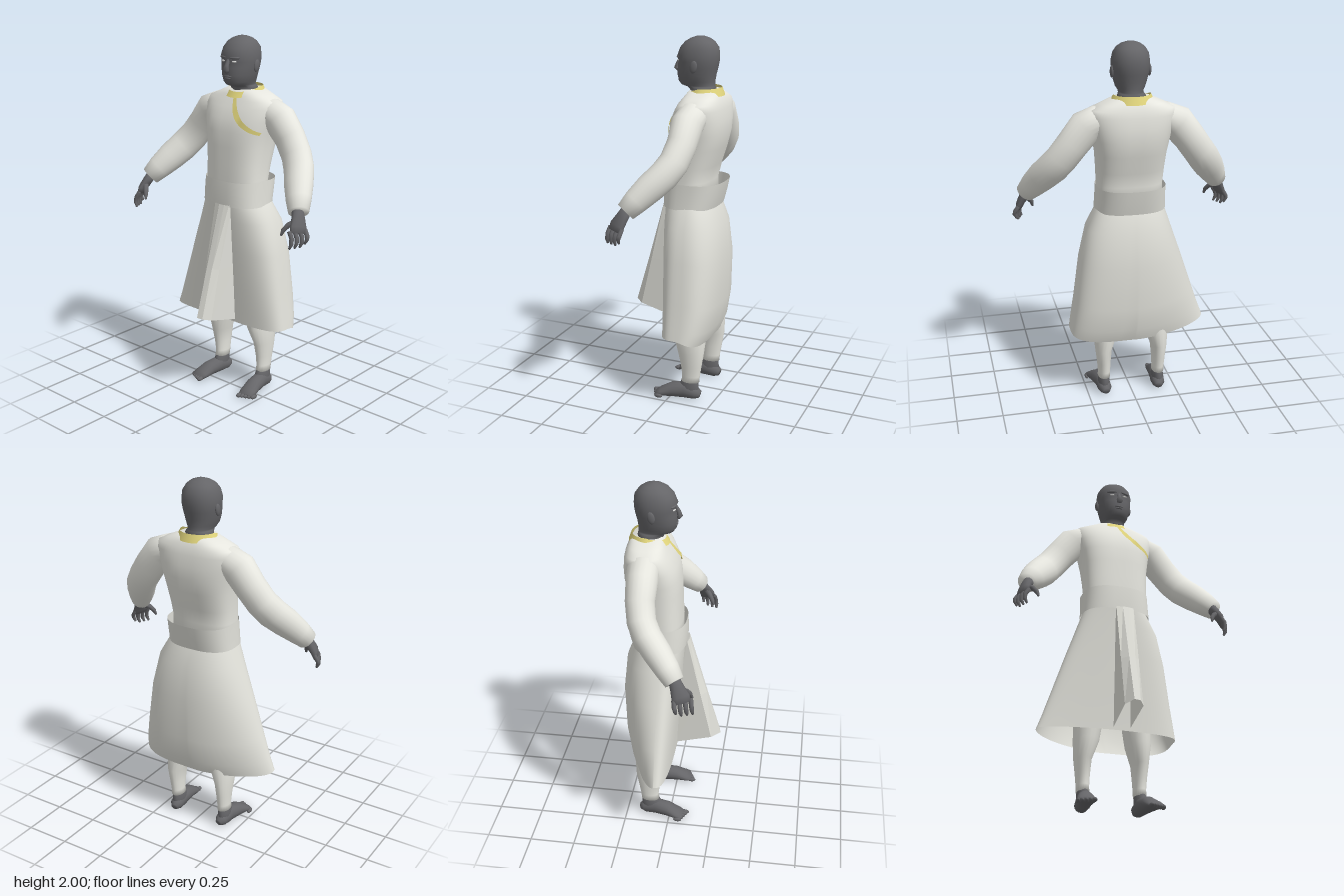
import * as THREE from 'three';

const D = THREE.DoubleSide;
const V = (x, y, z) => new THREE.Vector3(x, y, z);

// Skin a list of rings (each an array of points) into one surface
function loft(rings, { caps = true, closed = true, flat = false } = {}) {
  const n = rings[0].length, pos = [], idx = [];
  rings.forEach(r => r.forEach(p => pos.push(p.x, p.y, p.z)));
  for (let i = 0; i < rings.length - 1; i++) {
    for (let j = 0; j < (closed ? n : n - 1); j++) {
      const a = i * n + j, b = i * n + (j + 1) % n, c = a + n, d = b + n;
      idx.push(a, c, b, b, c, d);
    }
  }
  if (caps) {
    [0, rings.length - 1].forEach((r, end) => {
      const m = rings[r].reduce((s, p) => s.add(p), V(0, 0, 0)).divideScalar(n);
      const k = pos.length / 3;
      pos.push(m.x, m.y, m.z);
      for (let j = 0; j < n; j++) {
        const a = r * n + j, b = r * n + (j + 1) % n;
        if (end) idx.push(k, b, a); else idx.push(k, a, b);
      }
    });
  }
  let g = new THREE.BufferGeometry();
  g.setAttribute('position', new THREE.Float32BufferAttribute(pos, 3));
  g.setIndex(idx);
  if (flat) g = g.toNonIndexed();
  g.computeVertexNormals();
  return g;
}

// Horizontal superellipse ring from half width, front z and back z
const power = (v, n) => Math.sign(v) * Math.abs(v) ** (2 / n);
function ring(y, hx, zf, zb, n = 2, seg = 32, cx = 0) {
  return Array.from({ length: seg }, (_, j) => {
    const a = j / seg * Math.PI * 2;
    return V(cx + hx * power(Math.cos(a), n), y, (zf + zb) / 2 + (zf - zb) / 2 * power(Math.sin(a), n));
  });
}

// Limb along points [x, y, z, radius along ref, radius across]
function limb(pts, ref, seg = 16) {
  const c = pts.map(p => V(p[0], p[1], p[2]));
  return loft(c.map((p, i) => {
    const d = c[Math.min(i + 1, c.length - 1)].clone().sub(c[Math.max(i - 1, 0)]).normalize();
    const u = ref.clone().addScaledVector(d, -ref.dot(d)).normalize();
    const v = u.clone().cross(d);
    return Array.from({ length: seg }, (_, j) => {
      const a = j / seg * Math.PI * 2;
      return p.clone().addScaledVector(u, Math.cos(a) * pts[i][3]).addScaledVector(v, Math.sin(a) * pts[i][4]);
    });
  }));
}

// Torso sections: y, half width, front z, back z
const TORSO = [
  [1.1, .18, .055, -.18], [1.24, .178, .055, -.18], [1.32, .182, .05, -.2], [1.42, .19, .048, -.232],
  [1.5, .204, .042, -.25], [1.57, .22, .028, -.252], [1.63, .232, -.002, -.246], [1.665, .222, -.022, -.238],
  [1.69, .165, -.036, -.226], [1.72, .098, -.055, -.21],
];
const BOXY = 2.7;
function chestZ(x, y) {
  const i = Math.max(1, TORSO.findIndex(s => s[0] >= y));
  const a = TORSO[i - 1], b = TORSO[i], t = (y - a[0]) / (b[0] - a[0]);
  const [hx, zf, zb] = [1, 2, 3].map(k => a[k] + (b[k] - a[k]) * t);
  return (zf + zb) / 2 + (zf - zb) / 2 * Math.max(0, 1 - Math.abs(x / hx) ** BOXY) ** (1 / BOXY);
}

export function createModel() {
  const root = new THREE.Group();
  const mat = (name, color, side = THREE.FrontSide) => {
    const m = new THREE.MeshStandardMaterial({ color, side });
    m.name = name;
    return m;
  };
  const cloth = mat('white cloth', 0xe6e6df, D);
  const skirtCloth = mat('skirt cloth', 0xe0e0d9, D);
  const skin = mat('dark skin', 0x656568);
  const gold = mat('gold trim', 0xe0d47c, D);
  const eyeWhite = mat('eye white', 0xd2d2d0);
  const add = (name, geo, m) => {
    const mesh = new THREE.Mesh(geo, m);
    mesh.name = name;
    root.add(mesh);
    return mesh;
  };
  const blob = (name, m, x, y, z, sx, sy, sz) => {
    const b = add(name, new THREE.SphereGeometry(1, 14, 10), m);
    b.position.set(x, y, z);
    b.scale.set(sx, sy, sz);
    return b;
  };

  // Head and neck
  add('head', loft([
    [1.66, .078, -.05, -.19], [1.725, .074, -.05, -.185], [1.738, .066, -.03, -.182], [1.745, .064, .002, -.18],
    [1.765, .076, .017, -.18], [1.8, .087, .022, -.185], [1.84, .095, .02, -.195], [1.87, .099, .015, -.2],
    [1.9, .1, .021, -.202], [1.94, .093, .006, -.198], [1.97, .075, -.02, -.176], [1.988, .051, -.05, -.15],
    [1.998, .022, -.08, -.12], [2, .005, -.095, -.105],
  ].map(s => ring(s[0], s[1], s[2], s[3], 2.15))), skin);
  add('nose', limb([[0, 1.882, .012, .009, .008], [0, 1.85, .027, .012, .012],
    [0, 1.829, .034, .019, .014], [0, 1.818, .024, .014, .01]], V(1, 0, 0), 10), skin);
  blob('upperLip', skin, 0, 1.794, .018, .026, .006, .008);
  blob('lowerLip', skin, 0, 1.783, .016, .022, .006, .008);
  for (const s of [1, -1]) {
    blob('brow', skin, s * .04, 1.893, .008, .03, .008, .009).rotation.y = s * .35;
    blob('eye', eyeWhite, s * .038, 1.873, .0095, .014, .005, .006).rotation.y = s * .3;
    blob('ear', skin, s * .099, 1.848, -.1, .01, .033, .02).rotation.x = -.2;
  }

  // Tunic body
  add('tunic', loft(TORSO.map(s => ring(s[0], s[1], s[2], s[3], BOXY, 64))), cloth);

  // Standing collar, dipping at the front and deeper behind
  const collarRing = (lift, rx, front, back, deep) => Array.from({ length: 40 }, (_, j) => {
    const s = Math.sin(j / 40 * Math.PI * 2), c = Math.cos(j / 40 * Math.PI * 2);
    return V(rx * c, 1.714 + lift - .03 * Math.max(0, s) - deep * Math.max(0, -s), -.13 + (s > 0 ? front : back) * s);
  });
  add('collar', loft([collarRing(-.008, .114, .112, .102, .012), collarRing(.022, .098, .092, .086, 0)],
    { caps: false }), gold);

  // Curved gold edge running from collar to the left armpit, widest midway
  const path = new THREE.CatmullRomCurve3([[.008, 1.693], [.026, 1.65], [.05, 1.607], [.092, 1.563],
    [.14, 1.53], [.192, 1.503]].map(p => V(p[0], p[1], 0)));
  const edges = [[], []];
  for (let i = 0; i <= 30; i++) {
    const p = path.getPoint(i / 30), t = path.getTangent(i / 30), w = .008 + .007 * Math.sin(i / 30 * Math.PI);
    [-w, w].forEach((s, k) => {
      const x = p.x - t.y * s, y = p.y + t.x * s;
      edges[k].push(V(x, y, chestZ(x, y) + .006));
    });
  }
  add('chestTrim', loft(edges, { caps: false, closed: false }), gold);

  // Wide sash, standing away from the back
  add('sash', loft([ring(1.1, .192, .078, -.215, 2.6, 40), ring(1.17, .188, .08, -.235, 2.6, 40),
    ring(1.238, .186, .076, -.25, 2.6, 40)], { caps: false }), skirtCloth);

  // Flared skirt: square on the left, drawn to a point at the right front corner
  // Rows: height fraction, right and left half widths, front z, back z
  const hem = a => .415 - .055 * Math.max(0, -Math.sin(a)) - .015 * Math.max(0, -Math.cos(a));
  add('skirt', loft([
    [0, .432, .345, .025, -.208], [.1, .405, .335, .028, -.24], [.28, .362, .315, .035, -.262],
    [.6, .285, .285, .05, -.27], [.85, .222, .245, .062, -.25], [1, .185, .187, .07, -.205],
  ].map(([t, right, left, zf, zb]) => Array.from({ length: 96 }, (_, j) => {
    const a = j / 96 * Math.PI * 2, c = Math.cos(a), s = Math.sin(a);
    const corner = c > 0 ? (s > 0 ? 3.2 : 3.8) : (s > 0 ? 2.9 : 1.45);
    const n = corner + (2.4 - corner) * t;
    const mid = -.07 - .02 * c;
    return V((c > 0 ? left : right) * power(c, n), hem(a) * (1 - t) + 1.115 * t,
      mid + (s > 0 ? zf - mid : mid - zb) * power(s, n));
  })), { caps: false }), skirtCloth);

  // Projecting front pleat: back y, front y, back z, front z
  add('frontPleat', loft([[.43, .5, .02, .272], [.75, .77, .03, .19], [1.11, 1.11, .05, .088]]
    .map(([yb, yf, zb, zf]) => [[.06, 0], [.064, .82], [.035, .98], [.0, 1], [-.035, .8], [-.032, 0]]
      .map(([x, t]) => V(x, yb + (yf - yb) * t, zb + (zf - zb) * t))),
  { caps: false, closed: false, flat: true }), skirtCloth);

  for (const s of [1, -1]) {
    const side = s > 0 ? 'left' : 'right';
    const m = pts => pts.map(p => [p[0] * s, ...p.slice(1)]);

    // Sleeve, growing out of the shoulder
    add(side + 'Sleeve', limb(m([[.09, 1.615, -.13, .06, .045], [.18, 1.606, -.128, .083, .077],
      [.242, 1.572, -.125, .083, .092], [.312, 1.485, -.125, .076, .086], [.37, 1.405, -.108, .075, .085],
      [.415, 1.345, -.072, .075, .086], [.46, 1.285, -.015, .073, .082], [.505, 1.222, .042, .064, .07],
      [.538, 1.172, .083, .052, .056]]), V(0, 0, 1), 20), cloth);

    // Hand with curled fingers and thumb
    add(side + 'Palm', limb(m([[.53, 1.18, .08, .03, .03], [.548, 1.145, .098, .037, .026],
      [.565, 1.105, .118, .048, .022], [.572, 1.075, .126, .048, .016]]), V(-.35 * s, 0, 1), 12), skin);
    for (let k = 0; k < 4; k++) {
      const x = .012 - .012 * k, z = .085 + .027 * k, drop = k === 0 ? .015 : 0;
      add(side + 'Finger', limb(m([[.57 + x, 1.09, z, .012, .012], [.59 + x, 1.058, z + .006, .012, .012],
        [.592 + x, 1.028 + drop, z + .01, .011, .011], [.58 + x, 1.003 + drop, z + .012, .006, .006]]),
      V(0, 0, 1), 8), skin);
    }
    add(side + 'Thumb', limb(m([[.545, 1.13, .115, .018, .016], [.518, 1.112, .14, .015, .014],
      [.5, 1.085, .158, .012, .012], [.494, 1.058, .168, .006, .006]]), V(0, 0, 1), 8), skin);

    // Trouser leg
    add(side + 'Trouser', loft([[.105, .157, .034, -.06, -.165], [.14, .157, .034, -.065, -.168],
      [.2, .158, .038, -.058, -.178], [.28, .159, .046, -.04, -.192], [.38, .145, .068, -.008, -.2],
      [.6, .125, .085, .0, -.2], [1.05, .09, .09, .02, -.19]]
      .map(r => ring(r[0], r[2], r[3], r[4], 2, 20, s * r[1]))), cloth);

    // Ankle, foot and toes
    add(side + 'Ankle', loft([[.02, .158, .036, -.04, -.165], [.07, .157, .033, -.045, -.162], [.13, .157, .029, -.068, -.16]]
      .map(r => ring(r[0], r[2], r[3], r[4], 2, 16, s * r[1]))), skin);
    add(side + 'Foot', limb(m([[.152, .03, -.17, .02, .02], [.155, .037, -.145, .036, .036], [.16, .048, -.08, .04, .047],
      [.17, .042, -.01, .045, .041], [.18, .025, .05, .05, .024], [.184, .016, .078, .046, .014]]), V(1, 0, 0), 16), skin);
    for (let k = 0; k < 5; k++) {
      blob(side + 'Toe', skin, s * (.152 + .019 * k), .014, .09 - .009 * k, k ? .01 : .014, .012, .024);
    }
  }
  return root;
}
